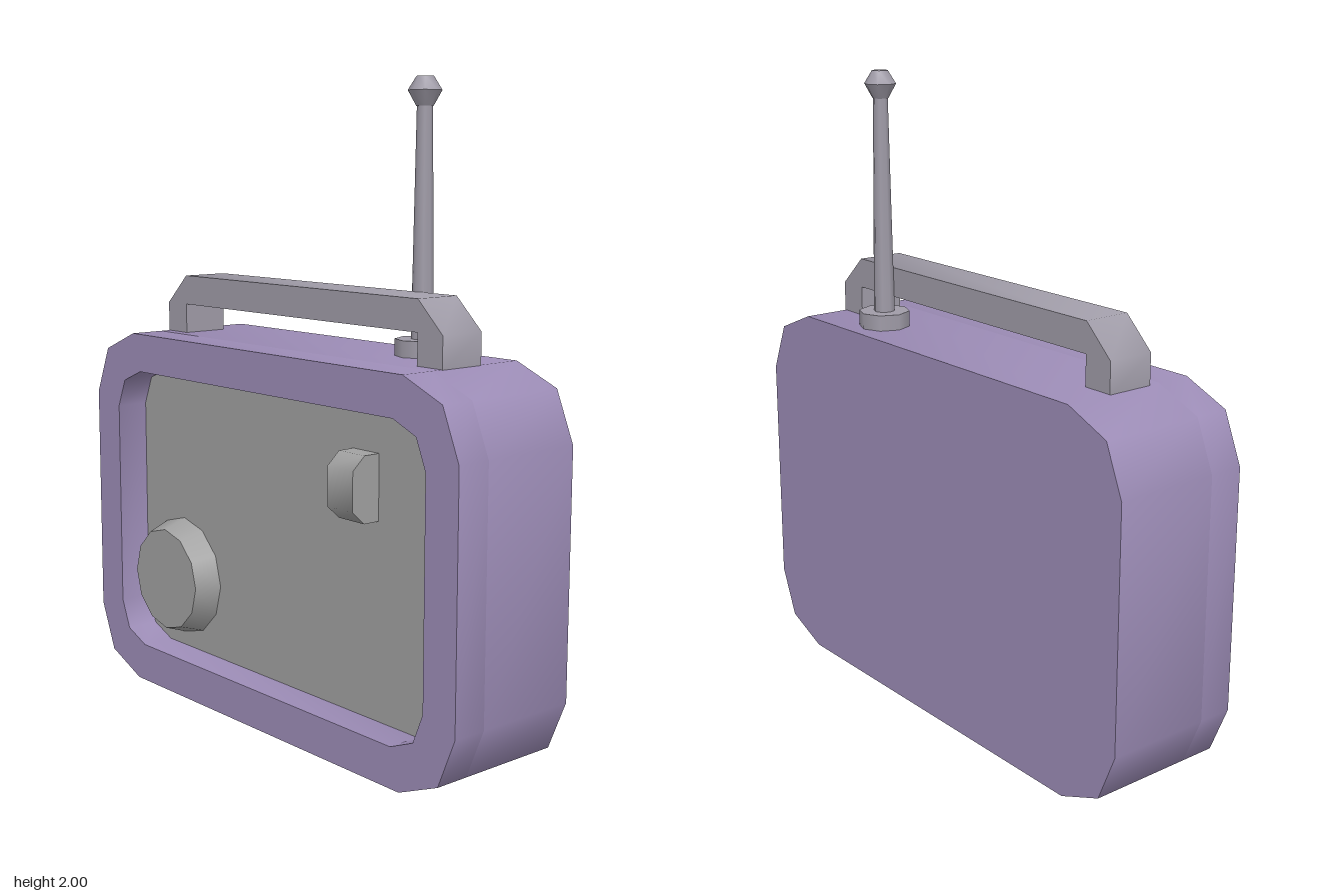
import * as THREE from 'three';
import { toCreasedNormals } from 'three/addons/utils/BufferGeometryUtils.js';

const casePurple = new THREE.MeshStandardMaterial({ color: 0x9c8cb6 });
casePurple.name = 'casePurple';
const metalGrey = new THREE.MeshStandardMaterial({ color: 0xa09ca8 });
metalGrey.name = 'metalGrey';
const panelGrey = new THREE.MeshStandardMaterial({ color: 0xa0a0a0 });
panelGrey.name = 'panelGrey';

const CREASE = Math.PI / 3;
const HALF = 0.2275;    // half thickness of the case
const PANEL_X = -0.115; // depth of the recessed panel

const toPoints = (list) => list.map(([a, b]) => new THREE.Vector2(a, b));

// Rounded rectangle outline in (z, y), with each corner cut into three facets
function outline(halfWidth, y0, y1, r) {
  const pts = [];
  const corners = [[1, y1 - r, 0], [-1, y1 - r, 1], [-1, y0 + r, 2], [1, y0 + r, 3]];
  for (const [side, cy, quarter] of corners) {
    for (let i = 0; i <= 3; i++) {
      const a = (quarter + i / 3) * Math.PI / 2;
      // facet corners at 0, 45 and 90 degrees form the main bevel
      if (i === 1) continue;
      const t = i === 2 ? (quarter + 0.5) * Math.PI / 2 : a;
      pts.push([side * (halfWidth - r) + r * Math.cos(t), cy + r * Math.sin(t)]);
    }
  }
  return toPoints(pts);
}

// Extrude a (z, y) outline along x from x0 to x1
function prism(points, x0, x1, hole) {
  const shape = new THREE.Shape(points);
  if (hole) shape.holes.push(new THREE.Path(hole));
  const geo = new THREE.ExtrudeGeometry(shape, { depth: x1 - x0, bevelEnabled: false });
  geo.rotateY(-Math.PI / 2).translate(x1, 0, 0);
  return toCreasedNormals(geo, CREASE);
}

export function createModel() {
  const model = new THREE.Group();
  model.name = 'portableRadio';
  const add = (name, geo, mat, parent = model) => {
    const mesh = new THREE.Mesh(geo, mat);
    mesh.name = name;
    parent.add(mesh);
    return mesh;
  };

  // Case: closed slab plus a frame around the recess
  const outer = outline(0.865, 0, 1.19, 0.218);
  const inner = outline(0.74, 0.125, 1.065, 0.13);
  add('caseBody', prism(outer, PANEL_X, HALF), casePurple);
  add('caseFrame', prism(outer, -HALF, PANEL_X, inner), casePurple);
  add('recessedPanel', prism(inner, PANEL_X - 0.004, PANEL_X + 0.002), panelGrey);

  // Carrying handle
  const handle = toPoints([
    [0.65, 1.185], [0.65, 1.285], [0.55, 1.38], [-0.55, 1.38], [-0.65, 1.285], [-0.65, 1.185],
    [-0.55, 1.185], [-0.55, 1.285], [0.55, 1.285], [0.55, 1.185],
  ]);
  add('handle', prism(handle, -0.078, 0.076), metalGrey);

  // Antenna: foot, tapered rod and faceted tip
  const antenna = new THREE.Group();
  antenna.name = 'antenna';
  antenna.position.set(0.1, 0, 0.388);
  model.add(antenna);
  add('antennaFoot', new THREE.CylinderGeometry(0.082, 0.082, 0.055, 8).translate(0, 1.2125, 0), metalGrey, antenna);
  add('antennaRod', new THREE.CylinderGeometry(0.023, 0.034, 0.7, 8).translate(0, 1.58, 0), metalGrey, antenna);
  const tip = toPoints([[0, 1.915], [0.025, 1.915], [0.05, 1.96], [0.025, 2], [0, 2]]);
  add('antennaTip', toCreasedNormals(new THREE.LatheGeometry(tip, 8), 0.7), metalGrey, antenna);

  // Dial low on the recessed panel
  const dial = new THREE.CylinderGeometry(0.17, 0.2, 0.085, 12).rotateZ(Math.PI / 2);
  add('dial', dial.translate(PANEL_X - 0.0425, 0.37, -0.52), panelGrey);

  // Bevelled switch high on the recessed panel
  const profile = new THREE.Shape(toPoints([
    [-0.11, 0.73], [-0.11, 0.93], [-0.175, 0.93], [-0.22, 0.89], [-0.22, 0.77], [-0.175, 0.73],
  ]));
  const knob = new THREE.ExtrudeGeometry(profile, { depth: 0.11, bevelEnabled: false }).translate(0, 0, 0.33);
  add('switch', toCreasedNormals(knob, CREASE), panelGrey);

  return model;
}
